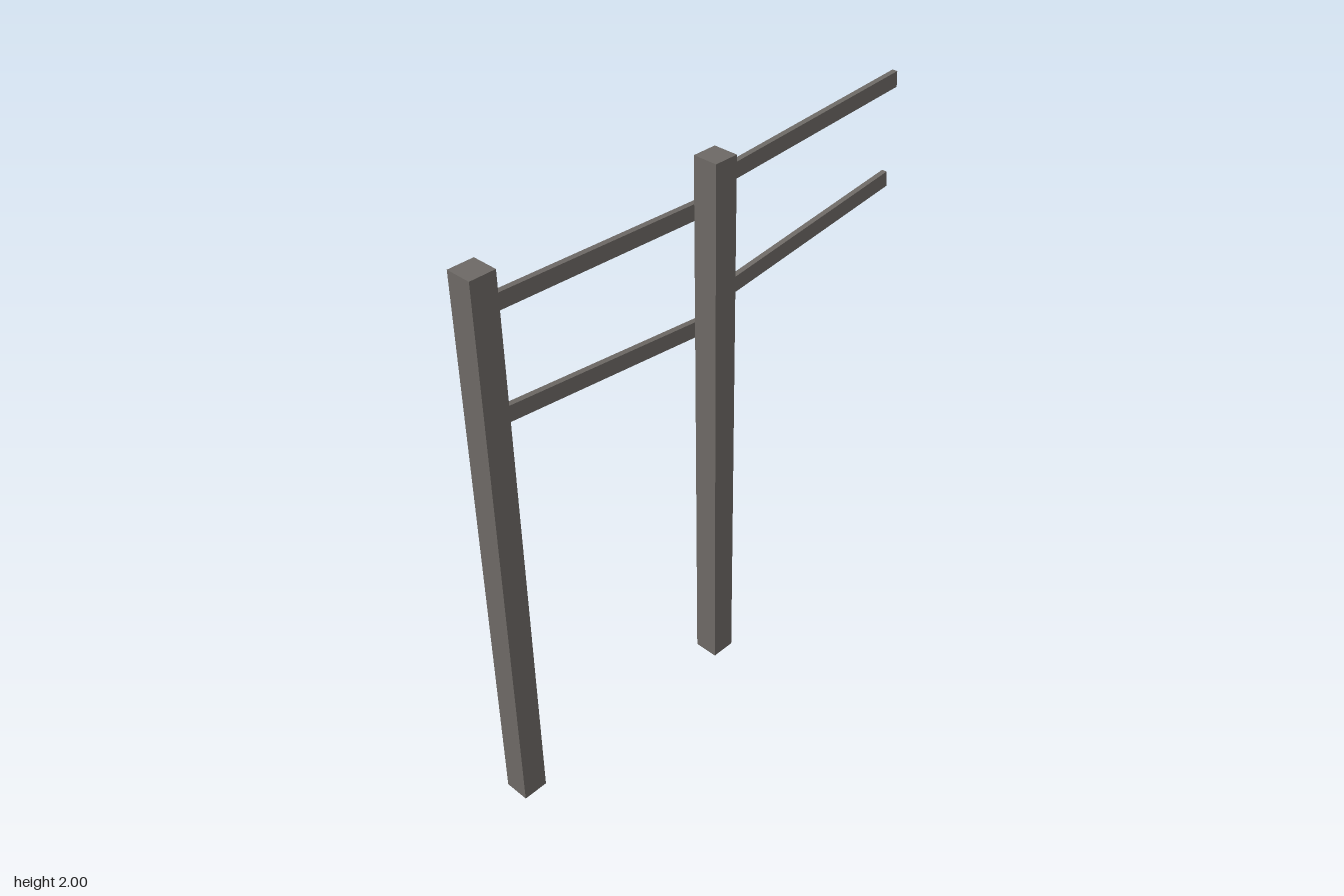
import * as THREE from 'three';

export function createModel() {
  const group = new THREE.Group();
  const wood = new THREE.MeshStandardMaterial({ color: 0x6e6a66 });
  wood.name = 'weathered grey wood';

  const addBox = (name, size, position, tilt = 0) => {
    const mesh = new THREE.Mesh(new THREE.BoxGeometry(...size), wood);
    mesh.name = name;
    mesh.position.set(...position);
    mesh.rotation.z = tilt;
    group.add(mesh);
  };

  // Square upright posts
  addBox('rightPost', [0.09, 2, 0.09], [-0.912, 1, 0.01]);
  addBox('middlePost', [0.09, 2, 0.09], [0.012, 1, 0.01]);

  // Thin sloping rails fixed to the back of the posts, given by centreline ends
  const addRail = (name, x0, y0, x1, y1) => {
    const length = Math.hypot(x1 - x0, y1 - y0);
    addBox(name, [length, 0.057, 0.02], [(x0 + x1) / 2, (y0 + y1) / 2, -0.045],
      Math.atan2(y1 - y0, x1 - x0));
  };
  addRail('upperRightRail', -0.93, 1.838, 0.04, 1.807);
  addRail('lowerRightRail', -0.94, 1.47, 0.04, 1.383);
  addRail('upperLeftRail', 0.0, 1.873, 0.953, 1.934);
  addRail('lowerLeftRail', 0.0, 1.458, 0.938, 1.569);

  return group;
}
